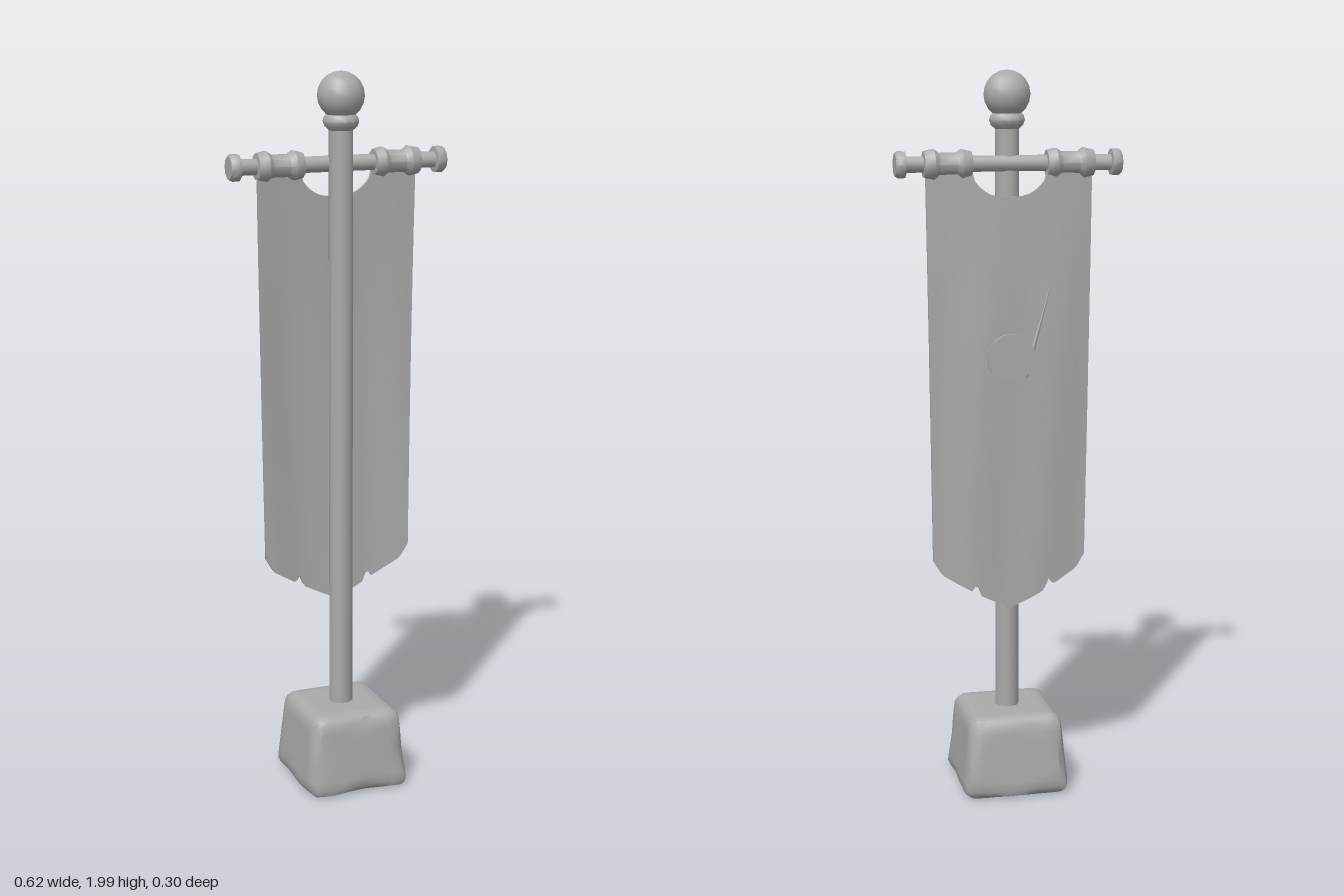
import * as THREE from 'three';
import { toCreasedNormals } from 'three/addons/utils/BufferGeometryUtils.js';

const BAR_Y = 1.755, BAR_Z = -0.022;

export function createModel() {
  const model = new THREE.Group();
  const grey = new THREE.MeshStandardMaterial({ color: 0xaaaaaa });
  grey.name = 'stone grey';

  const add = (name, geometry, crease = 0.7) => {
    const mesh = new THREE.Mesh(toCreasedNormals(geometry, crease), grey);
    mesh.name = name;
    model.add(mesh);
    return mesh;
  };
  const lathe = (points, sides) =>
    new THREE.LatheGeometry(points.map(([r, y]) => new THREE.Vector2(r, y)), sides);
  // Moves every vertex of a geometry by a rule
  const reshape = (geometry, rule) => {
    const pos = geometry.attributes.position, p = new THREE.Vector3();
    for (let i = 0; i < pos.count; i++) {
      rule(p.fromBufferAttribute(pos, i));
      pos.setXYZ(i, p.x, p.y, p.z);
    }
    return geometry;
  };

  // Worn stone block: rounded, tapered and chipped along its edges
  const half = new THREE.Vector3(0.15, 0.115, 0.154);
  const stone = reshape(new THREE.BoxGeometry(0.3, 0.23, 0.308, 12, 10, 12), (p) => {
    const chip = Math.sin(p.x * 31 + 1) * Math.sin(p.y * 37 + 2) * Math.sin(p.z * 29 + 0.5);
    const r = 0.034 + 0.014 * chip;
    const core = p.clone().clamp(
      half.clone().negate().addScalar(r), half.clone().addScalar(-r));
    const d = p.clone().sub(core);
    if (d.length() > r) p.copy(core).addScaledVector(d.normalize(), r);
    const t = (p.y + 0.115) / 0.23;
    const taper = 1 - 0.15 * t;
    p.set(p.x * taper, p.y + 0.123, p.z * taper);
  });
  add('stoneBase', stone, 0.6);

  // Pole
  const pole = new THREE.CylinderGeometry(0.033, 0.033, 1.66, 12, 1);
  pole.translate(0, 1.04, 0);
  add('pole', pole);

  // Collar and ball on top of the pole
  add('poleCollar', lathe([[0.033, 1.845], [0.044, 1.855], [0.049, 1.868],
    [0.046, 1.88], [0.036, 1.89], [0, 1.895]], 12));
  const ball = new THREE.SphereGeometry(0.064, 12, 10);
  ball.translate(0, 1.936, 0);
  add('poleBall', ball, 0.9);

  // Crossbar
  const bar = new THREE.CylinderGeometry(0.022, 0.022, 0.58, 10);
  bar.rotateZ(Math.PI / 2);
  bar.translate(0, BAR_Y, BAR_Z);
  add('crossbar', bar);

  // End knobs and cloth sleeves, mirrored to both sides
  const knob = [[0.02, 0.279], [0.036, 0.281], [0.037, 0.3], [0.031, 0.308], [0, 0.309]];
  const sleeve = [[0.02, 0.102], [0.035, 0.103], [0.041, 0.128], [0.031, 0.143],
    [0.031, 0.19], [0.042, 0.204], [0.036, 0.231], [0.02, 0.233]];
  for (const [side, label] of [[1, 'left'], [-1, 'right']]) {
    for (const [name, profile] of [['BarKnob', knob], ['BannerSleeve', sleeve]]) {
      const g = lathe(profile, 10);
      g.rotateZ(-side * Math.PI / 2);
      g.translate(0, BAR_Y, BAR_Z);
      add(label + name, g);
    }
  }

  // Banner: scooped top, pointed and torn hem, gentle folds
  const tear = (x, at, depth) => depth * Math.max(0, 1 - Math.abs(x - at) / 0.014);
  const top = (x) => Math.abs(x) > 0.1 ? 1.75
    : 1.667 + 0.05 * Math.pow(Math.abs(x) / 0.1, 3);
  const bottom = (x) => 0.533 + 0.11 * Math.pow(Math.abs(x) / 0.22, 1.2)
    + tear(x, -0.115, 0.025) + tear(x, 0.1, 0.03) + 0.025 * Math.max(0, Math.abs(x) - 0.2) / 0.025;
  const clothZ = (x, y) => {
    const drop = THREE.MathUtils.clamp((1.75 - y) / 0.45, 0, 1);
    const middle = Math.cos(Math.min(1, Math.abs(x) / 0.225) * Math.PI / 2);
    const hang = Math.sin(THREE.MathUtils.clamp((1.75 - y) / 1.2, 0, 1) * Math.PI);
    return -0.027 - 0.015 * drop * middle - 0.005 * hang
      - 0.009 * Math.max(0, 1 - drop) * middle + 0.003 * Math.sin(x * 30 + y * 2) * drop;
  };
  const banner = reshape(new THREE.BoxGeometry(0.45, 1, 0.009, 45, 24, 1), (p) => {
    const x = p.x, lo = bottom(x), y = lo + (p.y + 0.5) * (top(x) - lo);
    p.set(x * (0.945 + 0.065 * (y - 0.6) / 1.15), y, p.z + clothZ(x, y));
  });
  add('banner', banner, 0.8);

  // Raised round boss on the back of the banner
  const boss = new THREE.CylinderGeometry(0.066, 0.066, 0.009, 20);
  boss.rotateX(Math.PI / 2);
  boss.translate(0, 1.235, -0.0555);
  add('bannerBoss', boss);

  // Sharp pleat running up from the boss
  const pleat = new THREE.CylinderGeometry(0.001, 0.008, 0.26, 4);
  pleat.scale(1, 1, 0.6);
  pleat.rotateZ(0.27);
  pleat.translate(-0.075, 1.305, -0.0505);
  add('bannerPleat', pleat);

  return model;
}
